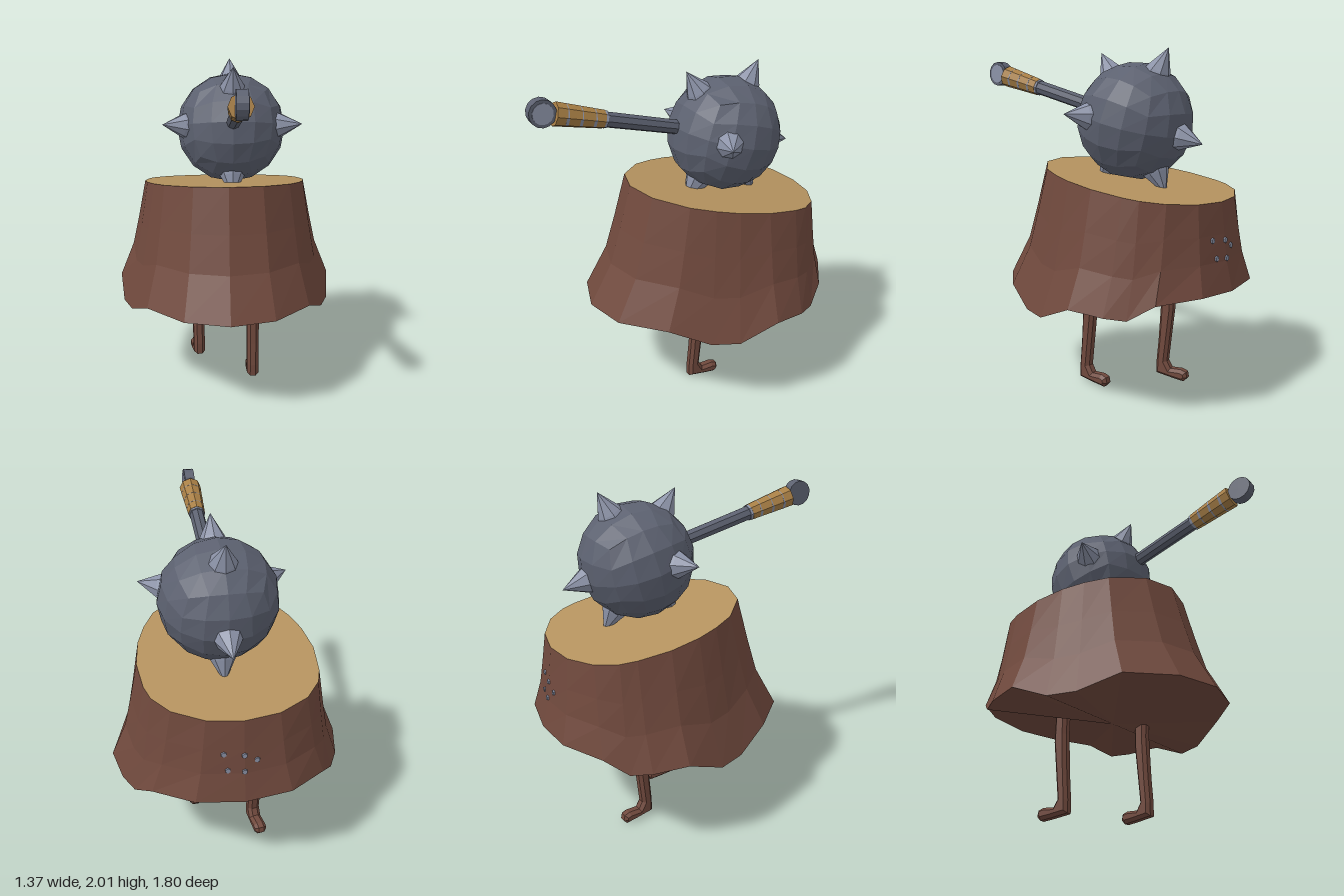
import * as THREE from 'three';

const paint = (name, color) => {
  const m = new THREE.MeshStandardMaterial({ color, flatShading: true });
  m.name = name;
  return m;
};

export function createModel() {
  const bark = paint('bark', 0x70493d);
  const wood = paint('cut wood', 0xb5935f);
  const iron = paint('dark iron', 0x5c6170);
  const steel = paint('pale steel', 0x8c93a8);
  const leather = paint('grip leather', 0xa87f45);

  const model = new THREE.Group();
  const add = (parent, name, geometry, material, x = 0, y = 0, z = 0) => {
    const mesh = new THREE.Mesh(geometry, material);
    mesh.name = name;
    mesh.position.set(x, y, z);
    parent.add(mesh);
    return mesh;
  };
  const fromTriangles = (points) => new THREE.BufferGeometry().setFromPoints(points);
  const finish = (geometry) => { geometry.computeVertexNormals(); return geometry; };

  // Stump: half outlines from front to back, [x, z] at the cut, [x, z, y] at the hem
  const cut = [[0, 0.33], [0.2, 0.28], [0.37, 0.13], [0.44, 0], [0.485, -0.13], [0.51, -0.31],
    [0.49, -0.5], [0.46, -0.59], [0.37, -0.7], [0.2, -0.79], [0, -0.82]];
  const hem = [[0, 0.61, 0.63], [0.26, 0.54, 0.63], [0.48, 0.32, 0.63], [0.59, 0.1, 0.54],
    [0.65, -0.06, 0.535], [0.685, -0.29, 0.63], [0.64, -0.49, 0.61], [0.58, -0.6, 0.6],
    [0.49, -0.72, 0.68], [0.27, -0.87, 0.7], [0, -0.9, 0.69]];
  const cutHeight = (z) => 1.308 + 0.1565 * z;
  const mirrored = (half) => [...half,
    ...half.slice(1, -1).reverse().map(([x, ...rest]) => [-x, ...rest])];
  const top = mirrored(cut).map(([x, z]) => new THREE.Vector3(x, cutHeight(z), z));
  const bottom = mirrored(hem).map(([x, z, y]) => new THREE.Vector3(x, y, z));
  // Each ring: share of the drop, share of the flare
  const rings = [[0, 0], [0.36, 0.26], [0.66, 0.5], [1, 1]].map(([drop, flare]) =>
    top.map((p, i) => {
      const q = p.clone().lerp(bottom[i], flare);
      q.y = THREE.MathUtils.lerp(p.y, bottom[i].y, drop);
      return q;
    }));
  const side = [], cap = [], under = [];
  const capCentre = new THREE.Vector3(0, cutHeight(-0.25), -0.25);
  const underCentre = new THREE.Vector3(0, 0.57, -0.12);
  for (let i = 0; i < top.length; i++) {
    const j = (i + 1) % top.length;
    for (let r = 0; r < 3; r++) {
      const u = rings[r], l = rings[r + 1];
      side.push(l[i], l[j], u[j], l[i], u[j], u[i]);
    }
    cap.push(capCentre, top[i], top[j]);
    under.push(underCentre, bottom[j], bottom[i]);
  }
  add(model, 'stumpBark', finish(fromTriangles(side)), bark);
  add(model, 'stumpTop', finish(fromTriangles(cap)), wood);
  add(model, 'stumpUnderside', finish(fromTriangles(under)), bark);

  // Small studs on the back of the stump
  for (const [x, y] of [[0.11, 0.98], [0.09, 0.88], [0, 0.87], [0, 0.97], [-0.07, 0.93]]) {
    const z = -0.852 + 0.13 * Math.abs(x) + (y - 0.93) * 0.13;
    add(model, 'backStud', new THREE.CylinderGeometry(0.016, 0.016, 0.012, 6).rotateX(Math.PI / 2),
      steel, x, y, z);
  }

  // Legs: side outline [z, y] extruded across the leg, toes towards the back
  const outline = [[0.01, 0.64], [0.008, 0.5], [0.022, 0.25], [0.035, 0.1], [0.035, 0.025],
    [-0.08, 0.008], [-0.15, 0], [-0.172, 0.025], [-0.165, 0.06], [-0.13, 0.072], [-0.06, 0.068],
    [-0.035, 0.11], [-0.05, 0.25], [-0.073, 0.46], [-0.07, 0.64]];
  const legGeometry = new THREE.ExtrudeGeometry(
    new THREE.Shape(outline.map(([z, y]) => new THREE.Vector2(-z, y))),
    { depth: 0.035, bevelEnabled: true, bevelSegments: 1, bevelSize: 0.018, bevelOffset: -0.018,
      bevelThickness: 0.02 });
  legGeometry.translate(0, 0, -0.0175).rotateY(Math.PI / 2);
  add(model, 'leftLeg', legGeometry, bark, 0.172, 0, 0);
  add(model, 'rightLeg', legGeometry, bark, -0.175, 0, -0.335).rotation.y = 0.15;

  // Mace: local +z runs along the shaft, tipped upwards
  const mace = new THREE.Group();
  mace.name = 'mace';
  mace.position.set(0.04, 1.605, -0.265);
  mace.rotation.x = -0.25;
  model.add(mace);

  // Ball: a box grid pushed out to a sphere
  const ball = new THREE.BoxGeometry(2, 2, 2, 4, 4, 4);
  const pos = ball.attributes.position;
  const v = new THREE.Vector3();
  for (let i = 0; i < pos.count; i++) {
    v.fromBufferAttribute(pos, i);
    v.set(...v.toArray().map((c) => Math.tan(c * Math.PI / 4))).setLength(0.338);
    pos.setXYZ(i, v.x, v.y, v.z);
  }
  add(mace, 'maceBall', finish(ball), iron);

  // Spikes: five around the middle plane and one on each side
  const spike = new THREE.LatheGeometry(
    [[0.075, 0.26], [0.085, 0.3], [0.07, 0.335], [0, 0.465]].map(([r, h]) => new THREE.Vector2(r, h)), 8);
  const directions = [43, 104, 180, -71, -132].map((deg) => {
    const a = THREE.MathUtils.degToRad(deg);
    return new THREE.Vector3(0, Math.sin(a), Math.cos(a));
  });
  for (const s of [-1, 1]) directions.push(new THREE.Vector3(s * 0.42, 0, 0.19).normalize());
  const up = new THREE.Vector3(0, 1, 0);
  for (const d of directions) {
    add(mace, 'spike', spike, steel).quaternion.setFromUnitVectors(up, d);
  }

  // Shaft, grip with its bands, and round pommel
  const rod = (r0, r1, z0, z1) =>
    new THREE.CylinderGeometry(r1, r0, z1 - z0, 8).rotateX(Math.PI / 2).translate(0, 0, (z0 + z1) / 2);
  add(mace, 'shaft', rod(0.042, 0.044, 0.3, 0.79), iron);
  add(mace, 'gripCollar', rod(0.05, 0.05, 0.765, 0.785), steel);
  add(mace, 'grip', rod(0.052, 0.067, 0.78, 1.06), leather);
  for (const z of [0.84, 0.92, 1.0]) {
    const r = 0.052 + (z - 0.78) * 0.054;
    add(mace, 'gripBand', rod(r, r, -0.008, 0.008), steel, 0, 0, z).rotation.x = 0.12;
  }
  const disc = (r, w) => new THREE.CylinderGeometry(r, r, w, 14).rotateZ(Math.PI / 2);
  add(mace, 'pommel', disc(0.076, 0.06), iron, 0, 0, 1.13);
  add(mace, 'pommelFace', disc(0.058, 0.006), steel, 0.031, 0, 1.13);

  return model;
}
